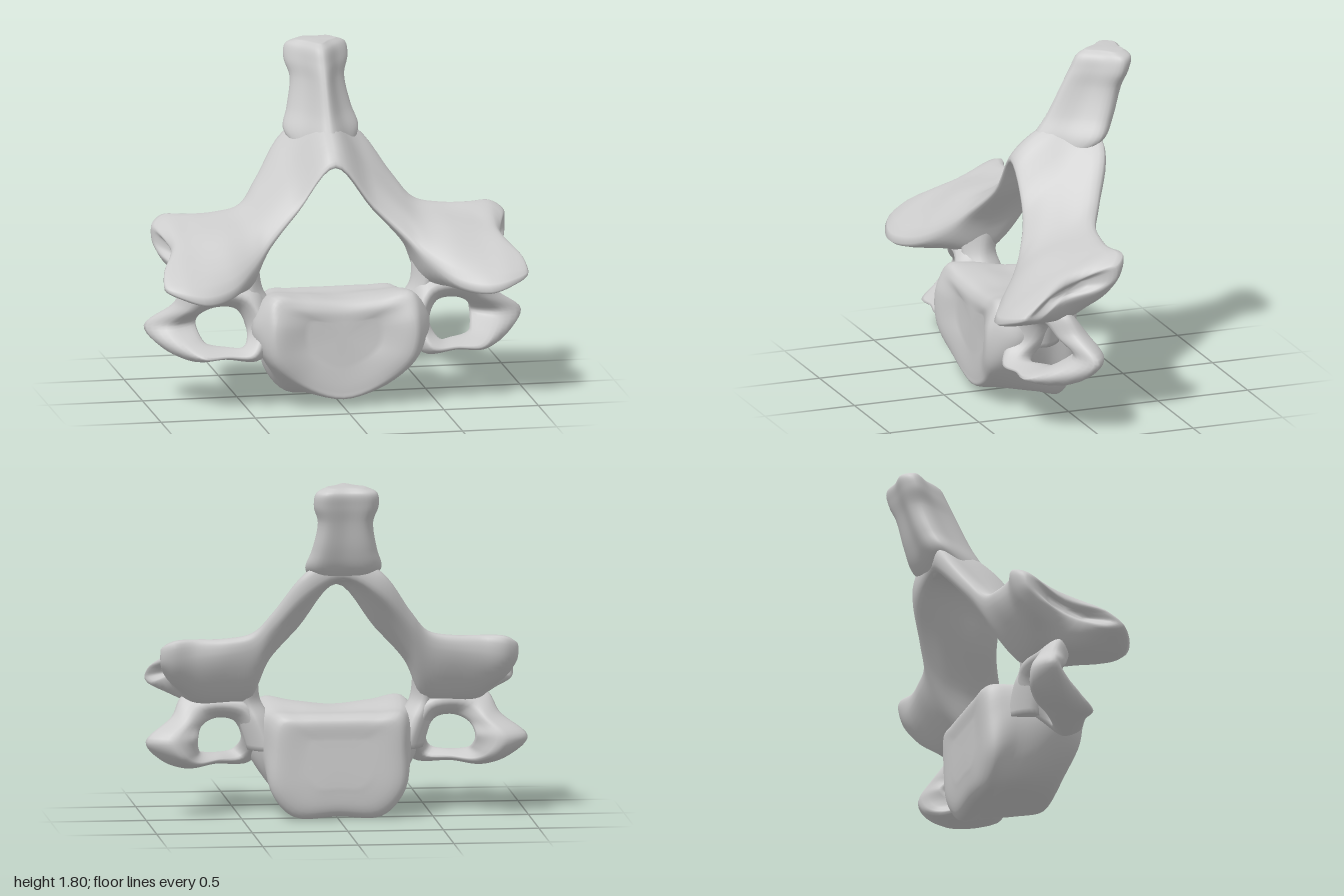
import * as THREE from 'three';

const material = new THREE.MeshStandardMaterial({ color: 0xcccccc });
const V = (x, y, z) => new THREE.Vector3(x, y, z);
const centre = (ring) => ring.reduce((s, p) => s.add(p), V(0, 0, 0)).divideScalar(ring.length);

// Smaller copy of a ring, flattened at a value of one axis, to round off an end
const inset = (ring, scale, axis, value) => {
  const mid = centre(ring);
  return ring.map((p) => {
    const q = mid.clone().lerp(p, scale);
    q[axis] = value;
    return q;
  });
};

// Smooth skin through closed rings of points; open lofts get capped ends.
function loft(name, rings, loop = false, around = 5, along = 6) {
  const n = rings[0].length * around;
  const dense = rings.map((r) => {
    const c = new THREE.CatmullRomCurve3(r, true);
    return Array.from({ length: n }, (_, i) => c.getPoint(i / n));
  });
  const steps = (loop ? rings.length : rings.length - 1) * along;
  const rows = loop ? steps : steps + 1;
  const pos = [], index = [];
  const rails = dense[0].map((_, i) => new THREE.CatmullRomCurve3(dense.map((r) => r[i]), loop));
  for (let j = 0; j < rows; j++) {
    for (let i = 0; i < n; i++) pos.push(...rails[i].getPoint(j / steps).toArray());
  }
  for (let j = 0; j < steps; j++) {
    for (let i = 0; i < n; i++) {
      const a = j * n + i, b = j * n + (i + 1) % n;
      const c = ((j + 1) % rows) * n + i, d = ((j + 1) % rows) * n + (i + 1) % n;
      index.push(a, b, c, b, d, c);
    }
  }
  if (!loop) {
    for (const [row, ring] of [[0, dense[0]], [rows - 1, dense[dense.length - 1]]]) {
      const m = pos.length / 3;
      pos.push(...centre(ring).toArray());
      for (let i = 0; i < n; i++) {
        const a = row * n + i, b = row * n + (i + 1) % n;
        if (row) index.push(a, b, m); else index.push(b, a, m);
      }
    }
  }
  // Turn the faces outward if the enclosed volume comes out negative
  let volume = 0;
  const at = (i) => V(pos[3 * i], pos[3 * i + 1], pos[3 * i + 2]);
  for (let i = 0; i < index.length; i += 3) {
    volume += at(index[i]).dot(at(index[i + 1]).cross(at(index[i + 2])));
  }
  if (volume < 0) index.reverse();
  const geo = new THREE.BufferGeometry();
  geo.setAttribute('position', new THREE.Float32BufferAttribute(pos, 3));
  geo.setIndex(index);
  geo.computeVertexNormals();
  const mesh = new THREE.Mesh(geo, material);
  mesh.name = name;
  return mesh;
}

// Full ring from a right half that starts and ends on the centre plane
const mirrorRing = (half) => [
  ...half,
  ...half.slice(1, -1).reverse().map((p) => V(-p.x, p.y, p.z)),
];

// Block-shaped body with a hollowed front, lofted from front to back
function body() {
  const rings = [
    [[0, 0.5, 0.34], [0.17, 0.52, 0.35], [0.32, 0.53, 0.37], [0.365, 0.44, 0.405], [0.34, 0.27, 0.405], [0.2, 0.14, 0.365], [0, 0.07, 0.35]],
    [[0, 0.54, 0.31], [0.2, 0.56, 0.32], [0.36, 0.58, 0.34], [0.41, 0.45, 0.37], [0.38, 0.25, 0.38], [0.22, 0.11, 0.355], [0, 0.035, 0.345]],
    [[0, 0.55, 0.2], [0.2, 0.57, 0.2], [0.38, 0.57, 0.22], [0.47, 0.42, 0.26], [0.42, 0.26, 0.26], [0.25, 0.08, 0.24], [0, 0.03, 0.24]],
    [[0, 0.54, 0.05], [0.2, 0.545, 0.05], [0.36, 0.54, 0.05], [0.4, 0.4, 0.06], [0.36, 0.2, 0.06], [0.25, 0.035, 0.06], [0, 0.02, 0.06]],
    [[0, 0.54, -0.08], [0.2, 0.54, -0.08], [0.33, 0.53, -0.08], [0.36, 0.35, -0.07], [0.35, 0.14, -0.06], [0.23, 0.003, -0.05], [0, 0.003, -0.05]],
    [[0, 0.51, -0.12], [0.17, 0.51, -0.12], [0.29, 0.5, -0.12], [0.32, 0.33, -0.11], [0.31, 0.15, -0.1], [0.2, 0.04, -0.09], [0, 0.04, -0.09]],
  ].map((r) => mirrorRing(r.map((p) => V(...p))));
  return loft('body', [inset(rings[0], 0.5, 'z', 0.345), ...rings, inset(rings[5], 0.5, 'z', -0.115)]);
}

// Roof-like arch that widens into the joint wings; sections [z, y, x override]
function arch() {
  const sections = [
    [0, [[0.13, 1.225], [0.07, 1.31], [-0.12, 1.42], [-0.28, 1.42], [-0.3, 1.3], [-0.22, 1.27], [-0.08, 1.25], [0.06, 1.21]]],
    [0.2, [[0.14, 1.0], [0.06, 1.09], [-0.1, 1.2], [-0.31, 1.32], [-0.31, 1.2], [-0.2, 1.11], [-0.06, 1.03], [0.08, 0.98]]],
    [0.36, [[0.22, 0.84], [0.12, 0.95], [-0.05, 1.03], [-0.22, 1.1], [-0.22, 1.02], [-0.11, 0.87], [0, 0.82], [0.12, 0.8]]],
    [0.46, [[0.3, 0.73], [0.2, 0.87], [0, 0.95], [-0.16, 0.98], [-0.16, 0.9], [-0.06, 0.71], [0.07, 0.6], [0.2, 0.62]]],
    [0.6, [[0.43, 0.63], [0.22, 0.86], [0, 0.93], [-0.14, 0.95], [-0.15, 0.87], [-0.05, 0.69], [0.07, 0.585], [0.25, 0.585]]],
    [0.75, [[0.51, 0.61], [0.22, 0.84], [0.02, 0.91], [-0.125, 0.95], [-0.14, 0.85], [-0.05, 0.69], [0.08, 0.595], [0.28, 0.58]]],
    [0.87, [[0.49, 0.64], [0.28, 0.8], [0.1, 0.87, 0.85], [-0.155, 0.945], [-0.14, 0.83], [-0.04, 0.72], [0.12, 0.66, 0.83], [0.33, 0.62]]],
    [0.95, [[0.41, 0.68, 0.965], [0.33, 0.75, 0.95], [0.13, 0.82, 0.875], [-0.09, 0.9, 0.935], [-0.09, 0.83, 0.935], [-0.01, 0.77, 0.915], [0.16, 0.72, 0.865], [0.33, 0.66, 0.94]]],
  ];
  const side = (s) => {
    const rings = sections.map(([x, pts]) => pts.map(([z, y, own = x]) => V(s * own, y, z)));
    return [...rings, inset(rings[7], 0.35, 'x', s * 0.85)];
  };
  return loft('archWithJointWings', [...side(-1).slice(1).reverse(), ...side(1)]);
}

// Tall rear spine, three-cornered in section: [y, front z, back z, half width]
function spine() {
  const levels = [
    [1.27, 0.05, -0.27, 0.16], [1.35, 0.0, -0.35, 0.2], [1.45, -0.07, -0.4, 0.17],
    [1.6, -0.15, -0.45, 0.145], [1.69, -0.2, -0.485, 0.17], [1.76, -0.24, -0.5, 0.16], [1.79, -0.29, -0.47, 0.1],
  ];
  return loft('spine', levels.map(([y, f, b, w]) => mirrorRing([
    V(0, y, f), V(w * 0.55, y, f + (b - f) * 0.42), V(w, y, b + 0.06), V(w * 0.7, y, b), V(0, y, b + 0.005),
  ])));
}

// Side process looping round its opening: [inner x, y, outer x, y, front z, back z]
function sideProcess(s) {
  const stations = [
    [0.52, 0.32, 0.43, 0.25, 0.36, 0.2], [0.6, 0.31, 0.62, 0.25, 0.34, 0.12], [0.69, 0.32, 0.77, 0.235, 0.34, 0.02],
    [0.715, 0.35, 0.91, 0.29, 0.24, -0.04], [0.725, 0.41, 1.0, 0.4, 0.11, -0.05], [0.7, 0.47, 0.86, 0.52, 0.17, 0.0],
    [0.62, 0.505, 0.79, 0.63, 0.21, 0.05], [0.53, 0.49, 0.45, 0.64, 0.25, 0.02], [0.485, 0.4, 0.36, 0.42, 0.3, 0.05],
  ];
  return loft('sideProcess', stations.map(([ix, iy, ox, oy, f, b]) => {
    const mx = s * (ix + ox) / 2, my = (iy + oy) / 2, mz = (f + b) / 2;
    return [V(s * ix, iy, mz), V(mx, my, f), V(s * ox, oy, mz), V(mx, my, b)];
  }), true);
}

// Short pillar from the body up to the arch: [y, centre x, half width, front z, back z]
function pedicle(s) {
  const levels = [[0.34, 0.36, 0.1, 0.22, 0.0], [0.5, 0.42, 0.09, 0.22, 0.01], [0.6, 0.465, 0.075, 0.22, 0.03], [0.74, 0.475, 0.07, 0.22, -0.02]];
  return loft('pedicle', levels.map(([y, x, w, f, b]) => [
    V(s * (x + w), y, (f + b) / 2), V(s * x, y, f), V(s * (x - w), y, (f + b) / 2), V(s * x, y, b),
  ]));
}

export function createModel() {
  const model = new THREE.Group();
  model.name = 'vertebra';
  model.add(body(), arch(), spine());
  for (const s of [1, -1]) model.add(sideProcess(s), pedicle(s));
  return model;
}
